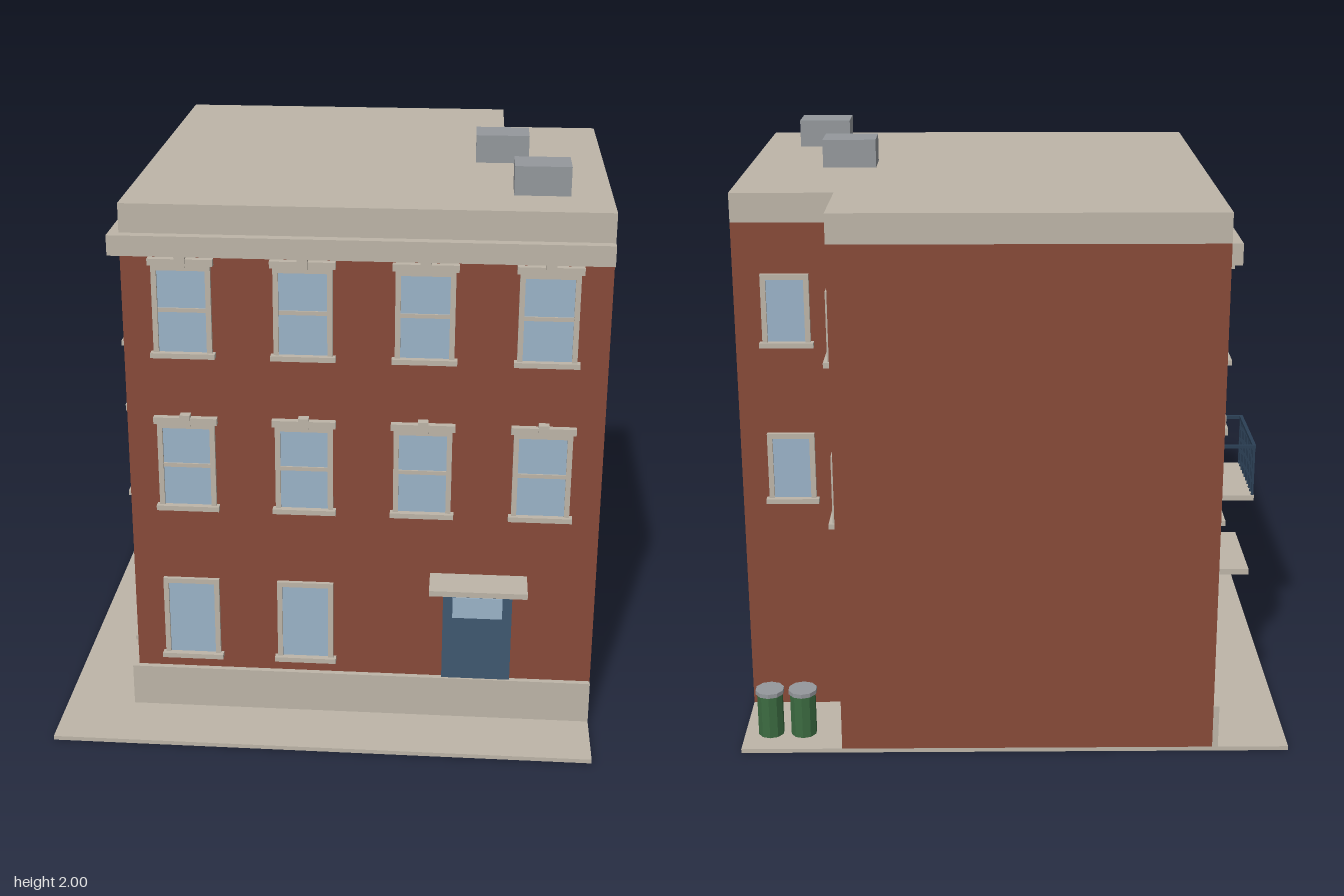
import * as THREE from 'three';

const mat = (name, color) => new THREE.MeshStandardMaterial({ name, color });

export function createModel() {
  const brick = mat('brick', 0x874a39), stone = mat('stone', 0xbdb5a8), glass = mat('glass', 0x9ab3c8);
  const navy = mat('doorNavy', 0x3f5870), iron = mat('railIron', 0x2b3f55);
  const grey = mat('metalGrey', 0x94989c), green = mat('binGreen', 0x3c6b41);
  const model = new THREE.Group();
  model.name = 'cornerBuilding';

  const L = -0.685, R = 0.95, F = 0.68, B = -0.95;   // wall planes
  const NX = 0.6, NZ = -0.61;                        // rear notch corner

  // Box given by its minimum and maximum corners
  function box(parent, name, m, x0, x1, y0, y1, z0, z1) {
    const mesh = new THREE.Mesh(new THREE.BoxGeometry(x1 - x0, y1 - y0, z1 - z0), m);
    mesh.position.set((x0 + x1) / 2, (y0 + y1) / 2, (z0 + z1) / 2);
    mesh.name = name;
    parent.add(mesh);
    return mesh;
  }

  // Notched footprint, extruded upwards
  function footprint(name, m, y0, y1) {
    const s = new THREE.Shape([[L, F], [R, F], [R, NZ], [NX, NZ], [NX, B], [L, B]]
      .map(([x, z]) => new THREE.Vector2(x, -z)));
    const g = new THREE.ExtrudeGeometry(s, { depth: y1 - y0, bevelEnabled: false });
    const mesh = new THREE.Mesh(g.rotateX(-Math.PI / 2), m);
    mesh.position.y = y0;
    mesh.name = name;
    model.add(mesh);
  }

  box(model, 'pavement', stone, -0.95, 0.95, 0, 0.015, -0.95, 0.945);
  footprint('walls', brick, 0.015, 1.8);
  footprint('parapetRoof', stone, 1.8, 1.9);

  // Plinth and cornice wrap the two street sides
  for (const [name, y0, y1, d] of [['plinth', 0.015, 0.17, 0.02], ['cornice', 1.73, 1.8, 0.036]]) {
    box(model, name + 'Front', stone, L - d, R, y0, y1, F, F + d);
    box(model, name + 'Side', stone, L - d, L, y0, y1, B, F);
  }

  // Wall-mounted group: local z points out of the wall
  function wall(name, x, z, turn) {
    const g = new THREE.Group();
    g.name = name;
    g.position.set(x, 0, z);
    g.rotation.y = turn;
    model.add(g);
    return g;
  }

  // Window with glass, surround, sill and optional sash rail and hood
  function addWindow(parent, cx, y0, y1, hw, fancy) {
    const w = new THREE.Group();
    w.name = 'window';
    w.position.x = cx;
    parent.add(w);
    const t = 0.018;
    box(w, 'pane', glass, -hw + t, hw - t, y0 + 0.015, y1 - t, 0, 0.005);
    for (const s of [-1, 1]) {
      const c = s * (hw - t / 2);
      box(w, 'jamb', stone, c - t / 2, c + t / 2, y0 + 0.015, y1, 0, 0.015);
    }
    box(w, 'head', stone, -hw + t, hw - t, y1 - t, y1, 0, 0.015);
    box(w, 'sill', stone, -hw - 0.01, hw + 0.01, y0, y0 + 0.018, 0, 0.028);
    if (!fancy) return;
    const mid = (y0 + y1) / 2 + 0.005;
    box(w, 'sashRail', stone, -hw + t, hw - t, mid - 0.007, mid + 0.007, 0, 0.011);
    box(w, 'hood', stone, -hw - 0.01, hw + 0.01, y1, y1 + 0.024, 0, 0.024);
    box(w, 'keystone', stone, -0.018, 0.018, y1 - 0.005, y1 + 0.036, 0, 0.03);
  }

  // Door with transom, lintel and canopy
  function addDoor(parent, cx) {
    const d = new THREE.Group();
    d.name = 'entrance';
    d.position.x = cx;
    parent.add(d);
    box(d, 'door', navy, -0.122, 0.122, 0.17, 0.513, 0, 0.012);
    box(d, 'transom', glass, -0.088, 0.088, 0.415, 0.495, 0.012, 0.016);
    box(d, 'lintel', stone, -0.15, 0.15, 0.513, 0.548, 0, 0.025);
    box(d, 'canopy', stone, -0.17, 0.17, 0.562, 0.582, 0, 0.137);
  }

  // Street sides: four bays above, two windows and a door below
  const front = wall('frontFacade', 0, F, 0);
  const side = wall('sideFacade', L, 0, -Math.PI / 2);
  for (const [parent, start, groundBays, doorX] of [[front, L, [0, 1], 0.54], [side, B, [2, 3], -0.545]]) {
    const bay = (i) => start + (i + 0.5) * 0.4085;
    for (let i = 0; i < 4; i++)
      for (const y of [0.803, 1.37]) addWindow(parent, bay(i), y, y + 0.325, 0.1, true);
    for (const i of groundBays) addWindow(parent, bay(i), 0.215, 0.53, 0.1, false);
    addDoor(parent, doorX);
  }

  // Plain windows in the rear notch
  const notchSide = wall('notchSideWall', NX, -0.78, Math.PI / 2);
  const notchBack = wall('notchBackWall', 0.775, NZ, Math.PI);
  for (const w of [notchSide, notchBack])
    for (const y of [0.803, 1.37]) addWindow(w, 0, y, y + 0.255, 0.082, false);

  // Balcony on the second bay of the side
  const balcony = new THREE.Group();
  balcony.name = 'balcony';
  model.add(balcony);
  const z0 = -0.512, z1 = -0.168, out = -0.862;
  box(balcony, 'balconyFloor', stone, out, L, 0.76, 0.78, z0, z1);
  box(balcony, 'outerRail', iron, out, out + 0.012, 0.958, 0.97, z0, z1);
  for (const z of [z0, z1 - 0.012])
    box(balcony, 'sideRail', iron, out + 0.012, L, 0.958, 0.97, z, z + 0.012);
  for (let i = 0; i < 10; i++) {
    const z = z0 + 0.002 + i * (z1 - z0 - 0.012) / 9;
    box(balcony, 'baluster', iron, out + 0.002, out + 0.01, 0.78, 0.958, z, z + 0.008);
  }

  // Rooftop units
  box(model, 'roofUnitRear', grey, 0.49, 0.68, 1.9, 2, -0.135, 0.01);
  box(model, 'roofUnitFront', grey, 0.62, 0.81, 1.9, 2, 0.33, 0.475);

  // Bins in the notch
  for (const x of [0.738, 0.852]) {
    const bin = new THREE.Group();
    bin.name = 'bin';
    bin.position.set(x, 0, -0.875);
    model.add(bin);
    for (const [name, m, r, y0, y1] of [['binBody', green, 0.045, 0.04, 0.195], ['binLid', grey, 0.05, 0.195, 0.21]]) {
      const g = new THREE.CylinderGeometry(r, r, y1 - y0, 10).toNonIndexed();
      g.computeVertexNormals();
      const mesh = new THREE.Mesh(g, m);
      mesh.position.y = (y0 + y1) / 2;
      mesh.name = name;
      bin.add(mesh);
    }
  }
  return model;
}
